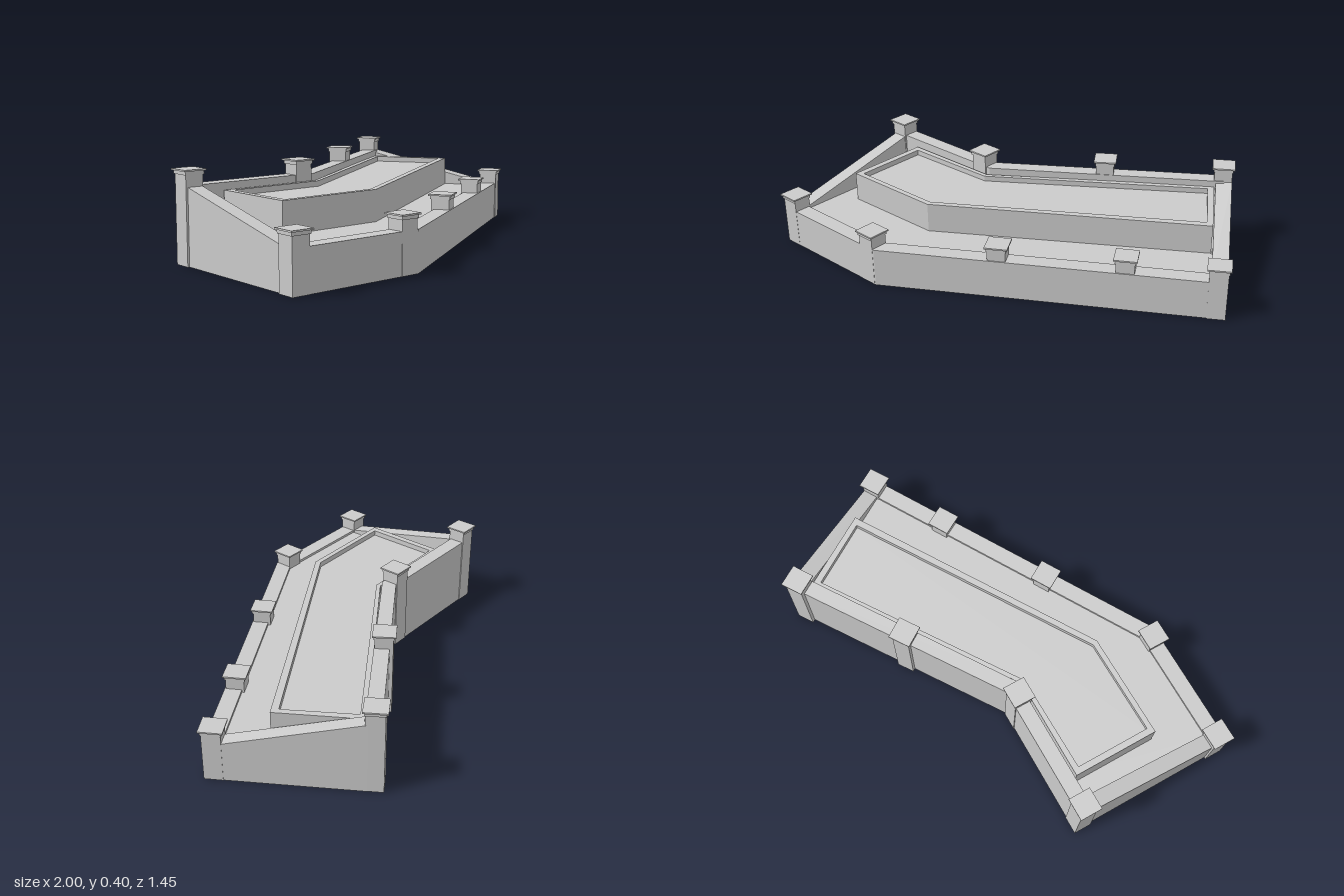
import * as THREE from 'three';

const LOW = 0.18, HIGH = 0.335, FLOOR = 0.168, RIM = 0.305;

// Footprint points are [x, z] pairs
const toVectors = pts => pts.map(([x, z]) => new THREE.Vector2(x, -z));

export function createModel() {
  const group = new THREE.Group();
  const material = new THREE.MeshStandardMaterial({
    color: 0xcccccc, flatShading: true, side: THREE.DoubleSide,
  });

  // Upright prism from a footprint, with an optional hole and a top height rule
  function prism(name, footprint, bottom, top, hole, topRule) {
    const shape = new THREE.Shape(toVectors(footprint));
    if (hole) shape.holes.push(new THREE.Path(toVectors(hole)));
    const geo = new THREE.ExtrudeGeometry(shape, { depth: top - bottom, bevelEnabled: false });
    geo.rotateX(-Math.PI / 2).translate(0, bottom, 0);
    if (topRule) {
      const p = geo.attributes.position;
      for (let i = 0; i < p.count; i++) {
        if (p.getY(i) > (top + bottom) / 2) p.setY(i, topRule(p.getZ(i)));
      }
      geo.computeVertexNormals();
    }
    const mesh = new THREE.Mesh(geo, material);
    mesh.name = name;
    group.add(mesh);
  }

  // Front and back retaining walls, bent in plan
  prism('frontWall', [[-0.98, 0.71], [-0.36, 0.71], [0.94, -0.06], [0.9, -0.125],
    [-0.38, 0.635], [-0.98, 0.635]], 0, LOW);
  prism('backWall', [[-0.98, -0.075], [-0.34, -0.075], [0.57, -0.685], [0.6, -0.62],
    [-0.325, -0.005], [-0.98, -0.005]], 0, HIGH);

  // End walls with tops sloping down to the front
  const slope = (zLow, zHigh) => z =>
    THREE.MathUtils.mapLinear(THREE.MathUtils.clamp(z, zHigh, zLow), zLow, zHigh, LOW, HIGH);
  prism('rightEndWall', [[-0.98, 0.64], [-0.91, 0.64], [-0.91, -0.02], [-0.98, -0.02]],
    0, HIGH, null, slope(0.63, 0));
  prism('leftEndWall', [[0.95, -0.13], [0.885, -0.1], [0.56, -0.61], [0.62, -0.655]],
    0, HIGH, null, slope(-0.13, -0.64));

  // Raised bed standing in an opening of the floor
  const bedOuter = [[-0.81, 0.01], [-0.33, 0.01], [0.56, -0.6], [0.77, -0.27],
    [-0.32, 0.41], [-0.81, 0.415]];
  const bedInner = [[-0.78, 0.037], [-0.325, 0.03], [0.55, -0.56], [0.73, -0.283],
    [-0.33, 0.385], [-0.78, 0.39]];
  prism('floor', [[-0.92, -0.01], [-0.325, -0.01], [0.575, -0.615], [0.9, -0.115],
    [-0.38, 0.64], [-0.92, 0.64]], FLOOR - 0.01, FLOOR, bedInner);
  prism('bedWall', bedOuter, FLOOR - 0.01, RIM, bedInner);
  prism('bedSoil', bedInner, RIM - 0.035, RIM - 0.025);

  // Square posts with a neck and a thin cap
  function post(name, x, z, height, angle) {
    const g = new THREE.Group();
    g.name = name;
    const block = (part, size, y0, y1) => {
      const mesh = new THREE.Mesh(new THREE.BoxGeometry(size, y1 - y0, size), material);
      mesh.name = part;
      mesh.position.y = (y0 + y1) / 2;
      g.add(mesh);
    };
    block('postBody', 0.082, 0, height - 0.022);
    block('postNeck', 0.09, height - 0.022, height - 0.007);
    block('postCap', 0.104, height - 0.007, height);
    g.position.set(x, 0, z);
    g.rotation.y = angle;
    group.add(g);
  }
  const frontPosts = [[-0.948, 0.67, 0], [-0.408, 0.67, 0], [0.095, 0.387, 0.53],
    [0.58, 0.1, 0.53], [0.925, -0.095, 0.55]];
  const backPosts = [[-0.948, -0.038, 0], [-0.385, -0.038, 0], [0.11, -0.347, 0.59],
    [0.57, -0.655, 0.57]];
  frontPosts.forEach(([x, z, a]) => post('frontPost', x, z, 0.248, a));
  backPosts.forEach(([x, z, a]) => post('backPost', x, z, 0.402, a));

  return group;
}
